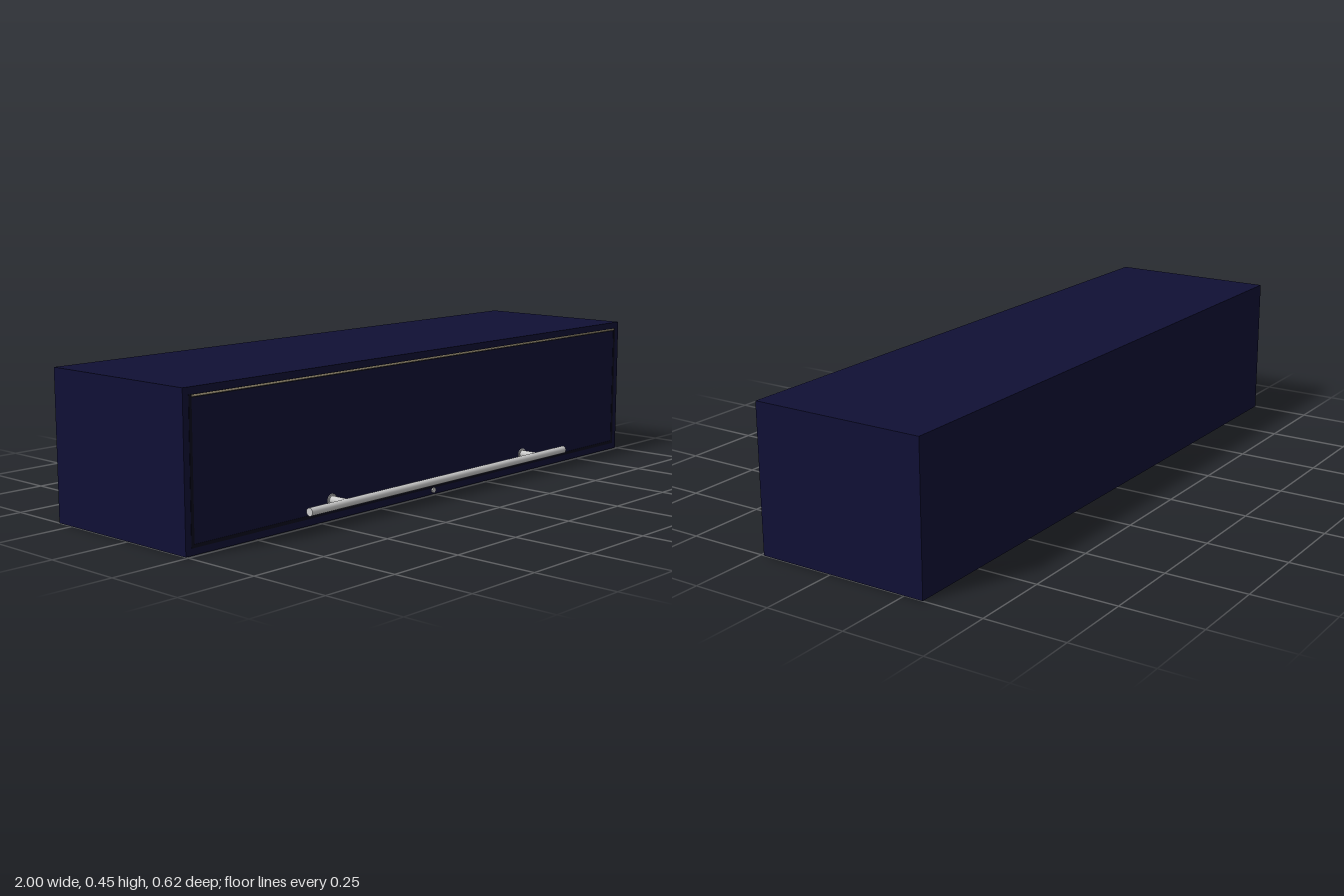
import * as THREE from 'three';

const navy = new THREE.MeshStandardMaterial({ color: 0x101035 });
const dark = new THREE.MeshStandardMaterial({ color: 0x08081c });
const brass = new THREE.MeshStandardMaterial({ color: 0xb5a888 });
const metal = new THREE.MeshStandardMaterial({ color: 0xcccccc });

const W = 2, H = 0.45, BACK = -0.31, FRONT = 0.24, WALL = 0.02;

function add(parent, name, geometry, material, x, y, z) {
  const mesh = new THREE.Mesh(geometry, material);
  mesh.name = name;
  mesh.position.set(x, y, z);
  parent.add(mesh);
  return mesh;
}

// Rectangular ring centred on the origin, extruded along +z
function ring(w, h, border, depth) {
  const rect = (C, a, b) => new C([
    new THREE.Vector2(-a, -b), new THREE.Vector2(a, -b),
    new THREE.Vector2(a, b), new THREE.Vector2(-a, b),
  ]);
  const shape = rect(THREE.Shape, w / 2, h / 2);
  shape.holes.push(rect(THREE.Path, w / 2 - border, h / 2 - border));
  return new THREE.ExtrudeGeometry(shape, { depth, bevelEnabled: false });
}

// Cylinder lying along z
function rodZ(radius, length) {
  return new THREE.CylinderGeometry(radius, radius, length, 24).rotateX(Math.PI / 2);
}

export function createModel() {
  const model = new THREE.Group();
  model.name = 'wallCabinet';
  const midY = H / 2;

  // Hollow carcass: four walls and a back panel
  add(model, 'carcass', ring(W, H, WALL, FRONT - BACK), navy, 0, midY, BACK);
  add(model, 'backPanel', new THREE.BoxGeometry(W - 2 * WALL, H - 2 * WALL, 0.02), navy, 0, midY, BACK + 0.01);

  // Inset flap door with a dark seal around it
  const innerW = W - 2 * WALL, innerH = H - 2 * WALL;
  add(model, 'doorSeal', ring(innerW, innerH, 0.01, 0.022), dark, 0, midY, FRONT - 0.021);
  add(model, 'door', new THREE.BoxGeometry(innerW - 0.02, innerH - 0.02, 0.02), navy, 0, midY, FRONT - 0.01);

  // Thin hinge rod along the top of the door
  add(model, 'hingeRod', new THREE.CylinderGeometry(0.003, 0.003, 1.94, 12).rotateZ(Math.PI / 2),
    brass, 0, 0.426, FRONT);

  // Bar handle on two posts
  const handle = new THREE.Group();
  handle.name = 'handle';
  handle.position.y = 0.06;
  model.add(handle);
  add(handle, 'handleBar', new THREE.CylinderGeometry(0.012, 0.012, 1.2, 24).rotateZ(Math.PI / 2),
    metal, 0, 0, 0.299);
  for (const side of [-1, 1]) {
    add(handle, 'handlePost', rodZ(0.012, 0.059), metal, side * 0.45, 0, 0.2695);
    add(handle, 'handleRosette', rodZ(0.018, 0.004), metal, side * 0.45, 0, FRONT + 0.001);
  }

  // Small catch button below the door
  add(model, 'catchButton', rodZ(0.008, 0.006), metal, 0, 0.013, FRONT + 0.002);

  return model;
}
